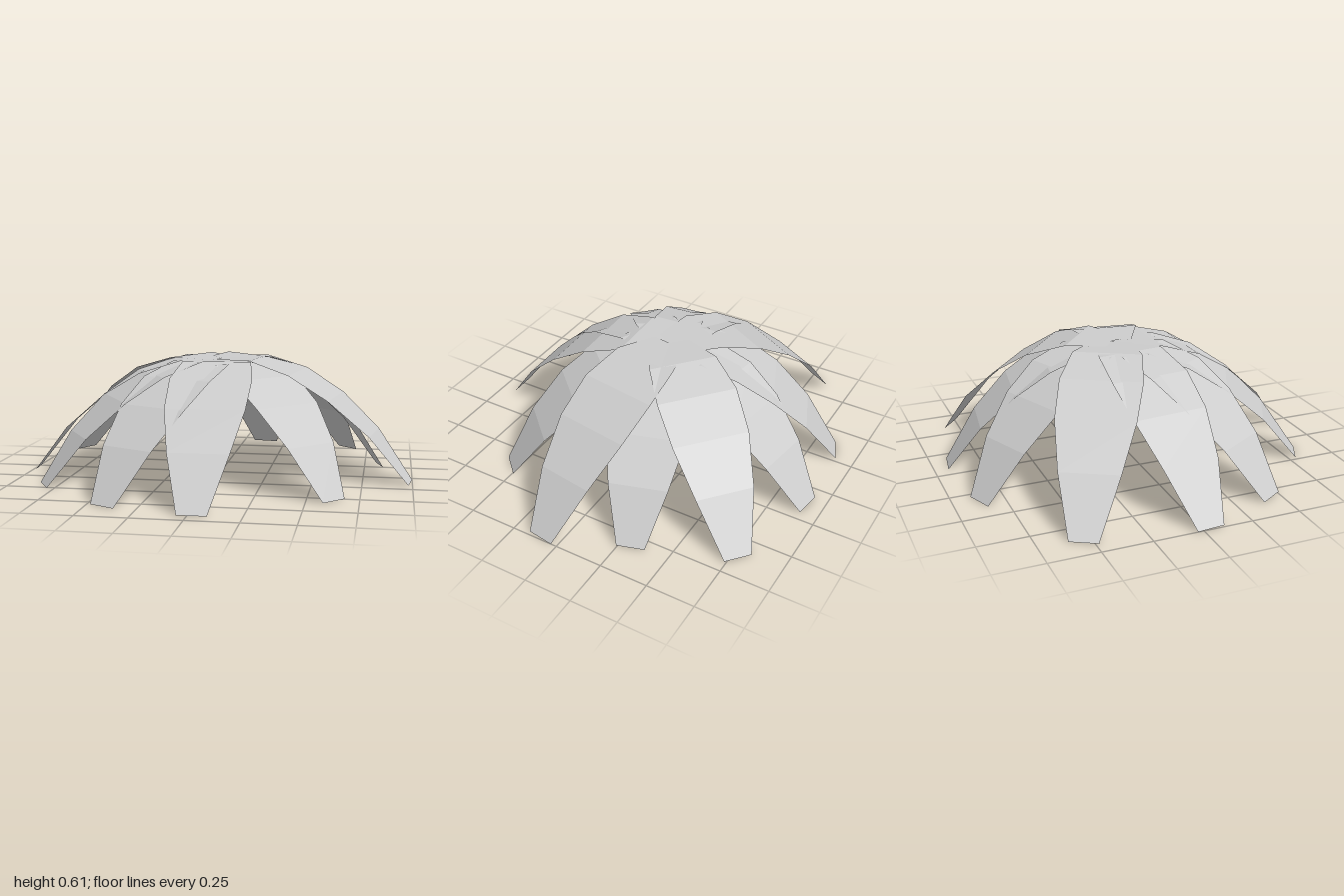
import * as THREE from 'three';

// Leaf cross-sections from centre to tip: [fraction of length, height, width]
const SECTIONS = [
  [0, 0.597, 0.2],
  [0.2, 0.603, 0.35],
  [0.41, 0.54, 0.41],
  [0.61, 0.42, 0.39],
  [0.81, 0.245, 0.295],
  [1, 0, 0.14],
];

// Ground position of each leaf tip [x, z] and a small height factor for the overlaps
const TIPS = [
  [0.99, 0.1, 1.01], [0.83, -0.31, 0.98], [0.635, -0.785, 1.01], [0.13, -0.92, 0.985],
  [-0.34, -0.875, 0.995], [-0.895, -0.545, 1.005], [-0.993, 0.04, 1], [-0.825, 0.45, 0.995],
  [-0.42, 0.82, 0.985], [0.02, 0.92, 1], [0.63, 0.545, 0.98],
];
const CENTRE_Z = -0.05;

// Flat folded strip running outward along +z and drooping to the ground
function leafGeometry(length, heightFactor) {
  const geometry = new THREE.PlaneGeometry(1, 1, 1, SECTIONS.length - 1);
  const pos = geometry.attributes.position;
  for (let i = 0; i < pos.count; i++) {
    const [t, height, width] = SECTIONS[Math.floor(i / 2)];
    pos.setXYZ(i, Math.sign(pos.getX(i)) * width / 2, height * heightFactor, t * length);
  }
  geometry.computeVertexNormals();
  return geometry;
}

export function createModel() {
  const model = new THREE.Group();
  model.name = 'droopingLeaves';
  const leafGrey = new THREE.MeshStandardMaterial({
    color: 0xcccccc, flatShading: true, side: THREE.DoubleSide,
  });
  leafGrey.name = 'leafGrey';

  // Ring of leaves spreading from a shared crown
  TIPS.forEach(([x, z, heightFactor], i) => {
    const dz = z - CENTRE_Z;
    const leaf = new THREE.Mesh(leafGeometry(Math.hypot(x, dz), heightFactor), leafGrey);
    leaf.name = `leaf${i + 1}`;
    leaf.position.z = CENTRE_Z;
    leaf.rotation.y = Math.atan2(x, dz);
    model.add(leaf);
  });
  return model;
}
